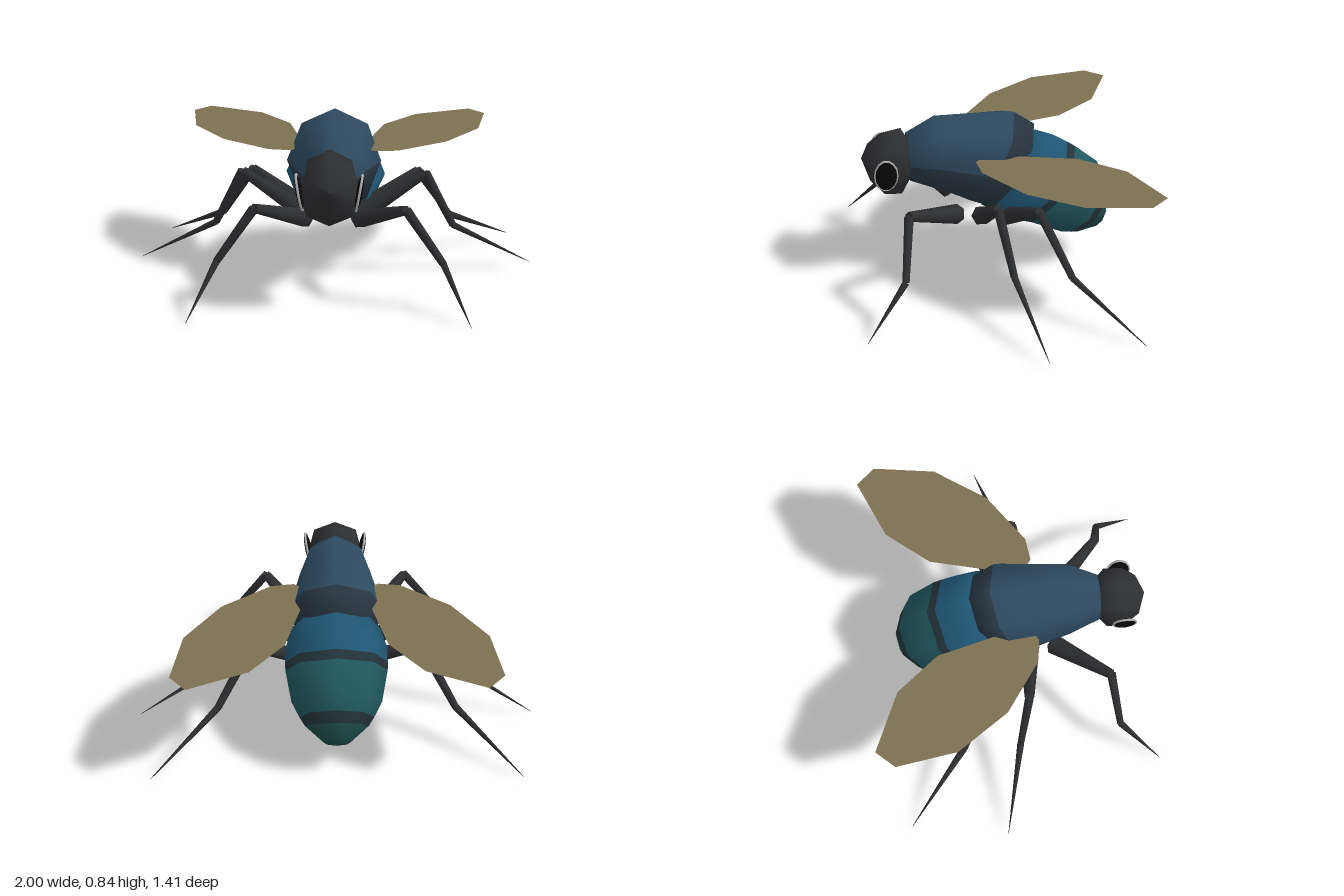
import * as THREE from 'three';

const mat = (color) => new THREE.MeshStandardMaterial({ color, roughness: 0.8, side: THREE.DoubleSide });
const M = {
  dark: mat(0x2e2f31), shade: mat(0x293743), thorax: mat(0x2e4a60),
  blue: mat(0x1f5675), teal: mat(0x20585f), tail: mat(0x1f4f4e), band: mat(0x24343a),
  wing: mat(0x7d7052), eye: mat(0x0a0a0a), rim: mat(0xb4b4b4),
};
const SIDES = 8;

// Tilted rings, front to back: [topZ, topY, bottomZ, bottomY, halfWidth].
// pick(i, j) names the material of each face; every material becomes one mesh
// sharing the same smooth normals.
function loft(name, rings, pick, square = 1) {
  const pos = [], all = [], byMat = {};
  for (const [tz, ty, bz, by, w] of rings) {
    for (let j = 0; j < SIDES; j++) {
      const a = (j / SIDES) * Math.PI * 2, c = Math.cos(a), s = Math.sin(a);
      const x = Math.abs(s) < 1e-6 ? 0 : Math.sign(s) * Math.abs(s) ** square * w;
      pos.push(x, (ty + by) / 2 + (c * (ty - by)) / 2, (tz + bz) / 2 + (c * (tz - bz)) / 2);
    }
  }
  for (let i = 0; i < rings.length - 1; i++) {
    for (let j = 0; j < SIDES; j++) {
      const k = (j + 1) % SIDES, p = i * SIDES, q = p + SIDES;
      const quad = [p + j, p + k, q + j, p + k, q + k, q + j];
      all.push(...quad);
      (byMat[pick(i, j)] ??= []).push(...quad);
    }
  }
  const base = new THREE.BufferGeometry();
  base.setAttribute('position', new THREE.Float32BufferAttribute(pos, 3));
  base.setIndex(all);
  base.computeVertexNormals();
  const group = new THREE.Group();
  group.name = name;
  for (const key of Object.keys(byMat)) {
    const geo = base.clone();
    geo.setIndex(byMat[key]);
    const mesh = new THREE.Mesh(geo, M[key]);
    mesh.name = `${name} ${key}`;
    group.add(mesh);
  }
  return group;
}

// Tapered six-sided limb segment between two points
function limb(name, a, b, ra, rb) {
  const dir = b.clone().sub(a);
  const mesh = new THREE.Mesh(new THREE.CylinderGeometry(rb, ra, dir.length(), 6), M.dark);
  mesh.position.copy(a).add(b).multiplyScalar(0.5);
  mesh.quaternion.setFromUnitVectors(new THREE.Vector3(0, 1, 0), dir.normalize());
  mesh.name = name;
  return mesh;
}

function leg(name, side, points) {
  const group = new THREE.Group();
  group.name = name;
  const p = points.map(([x, y, z]) => new THREE.Vector3(x * side, y, z));
  const radii = [0.05, 0.024, 0.018, 0.001];
  ['upper leg', 'middle leg', 'lower leg'].forEach((n, i) =>
    group.add(limb(n, p[i], p[i + 1], radii[i], radii[i + 1])));
  return group;
}

function wing(name, side) {
  const outline = [[0.13, 0.06], [0.21, 0.115], [0.32, 0.1], [0.56, -0.07], [0.73, -0.32],
    [0.775, -0.62], [0.695, -0.71], [0.41, -0.585], [0.245, -0.38], [0.17, -0.08]];
  const shape = new THREE.Shape(outline.map(([x, z]) => new THREE.Vector2(x * side, -z)));
  const mesh = new THREE.Mesh(new THREE.ShapeGeometry(shape), M.wing);
  mesh.rotation.x = -Math.PI / 2;
  mesh.position.y = 0.68;
  mesh.name = name;
  return mesh;
}

// Flattened dark dome with a thin pale rim
function eye(name, side) {
  const group = new THREE.Group();
  group.name = name;
  const dome = new THREE.Mesh(new THREE.SphereGeometry(1, 14, 8), M.eye);
  dome.scale.set(0.016, 0.088, 0.054);
  dome.name = 'eye dome';
  const rim = new THREE.Mesh(new THREE.TorusGeometry(0.088, 0.006, 5, 14), M.rim);
  rim.rotation.y = Math.PI / 2;
  rim.scale.x = 0.64;
  rim.name = 'eye rim';
  group.add(dome, rim);
  group.position.set(side * 0.14, 0.605, 0.545);
  group.rotation.z = -side * 0.17;
  return group;
}

export function createModel() {
  const model = new THREE.Group();
  model.name = 'fly';

  // Head
  model.add(loft('head', [
    [0.655, 0.64, 0.655, 0.64, 0],
    [0.616, 0.703, 0.62, 0.53, 0.1],
    [0.548, 0.764, 0.552, 0.442, 0.135],
    [0.457, 0.79, 0.47, 0.43, 0.13],
    [0.41, 0.7, 0.42, 0.53, 0.09],
    [0.4, 0.62, 0.4, 0.62, 0],
  ], () => 'dark', 0.65));

  // Thorax: blue back, darker flanks, dark belly
  model.add(loft('thorax', [
    [0.43, 0.64, 0.43, 0.64, 0],
    [0.43, 0.76, 0.42, 0.5, 0.115],
    [0.285, 0.843, 0.25, 0.43, 0.18],
    [-0.105, 0.836, 0.12, 0.36, 0.235],
    [-0.205, 0.765, 0, 0.36, 0.2],
    [-0.15, 0.56, -0.15, 0.56, 0],
  ], (i, j) => {
    if (i === 0 || j === 3 || j === 4) return 'dark';
    return j === 2 || j === 5 || i > 2 ? 'shade' : 'thorax';
  }));

  // Abdomen: coloured segments, each ending in a dark band
  model.add(loft('abdomen', [
    [-0.05, 0.6, -0.05, 0.6, 0],
    [-0.19, 0.738, 0.06, 0.33, 0.22],
    [-0.295, 0.7, -0.015, 0.28, 0.25],
    [-0.375, 0.652, -0.09, 0.26, 0.252],
    [-0.415, 0.624, -0.13, 0.25, 0.25],
    [-0.53, 0.53, -0.29, 0.174, 0.22],
    [-0.565, 0.43, -0.352, 0.166, 0.182],
    [-0.586, 0.37, -0.39, 0.163, 0.155],
    [-0.586, 0.28, -0.52, 0.166, 0.07],
    [-0.56, 0.22, -0.56, 0.22, 0],
  ], (i) => ['band', 'blue', 'blue', 'band', 'teal', 'teal', 'band', 'tail', 'tail'][i]));

  // Base, two joints and tip of each leg
  const legs = {
    front: [[0.13, 0.36, 0.2], [0.36, 0.495, 0.46], [0.54, 0.24, 0.5], [0.67, 0, 0.7]],
    middle: [[0.13, 0.34, 0.08], [0.455, 0.55, 0.045], [0.6, 0.26, -0.01], [1, 0.03, -0.11]],
    rear: [[0.13, 0.33, -0.03], [0.42, 0.5, -0.16], [0.59, 0.22, -0.295], [0.915, 0.015, -0.59]],
  };
  for (const [side, label] of [[1, 'left'], [-1, 'right']]) {
    for (const [n, points] of Object.entries(legs)) model.add(leg(`${label} ${n} leg`, side, points));
    model.add(wing(`${label} wing`, side), eye(`${label} eye`, side));
  }
  return model;
}
